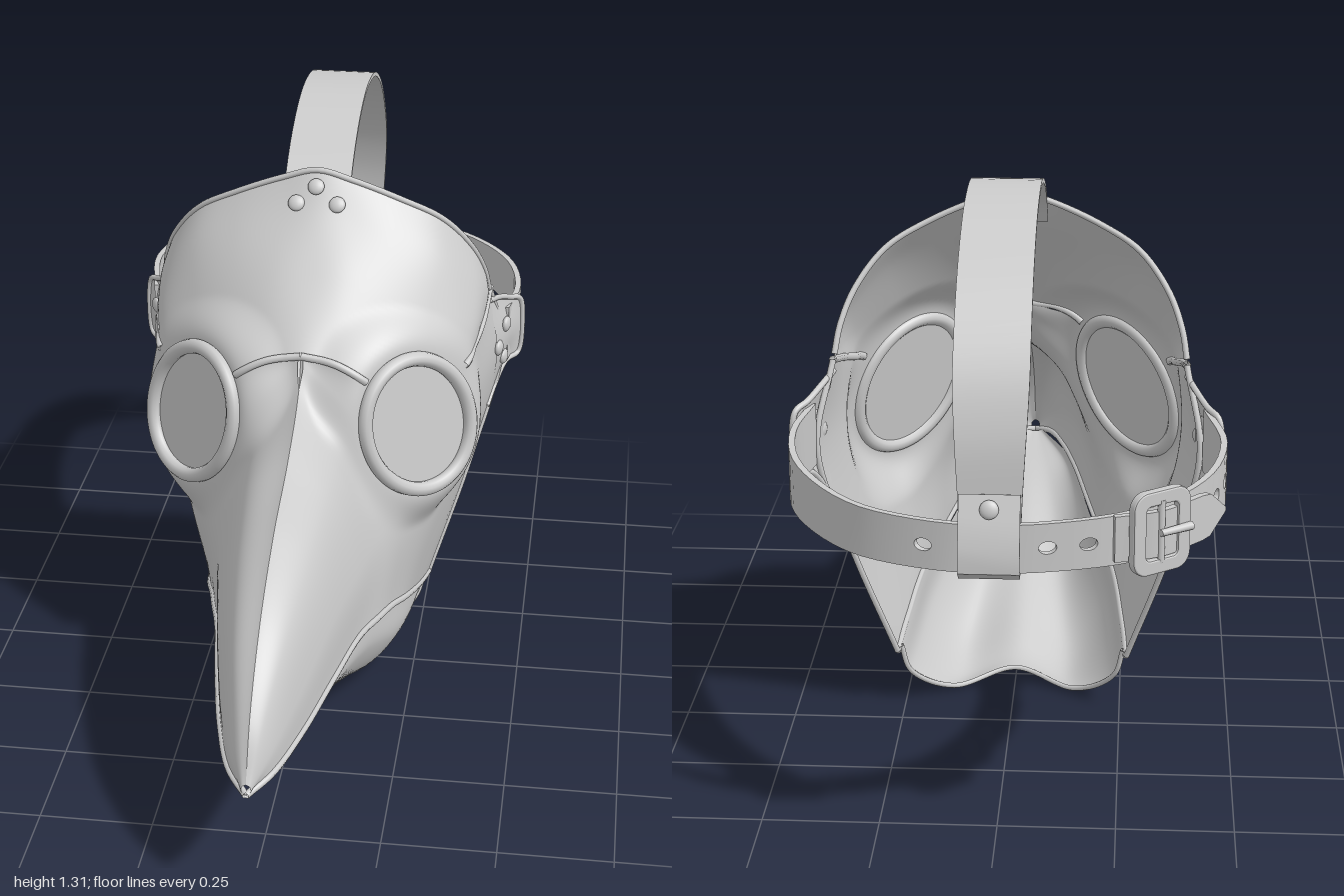
import * as THREE from 'three';
import { mergeGeometries, toCreasedNormals } from 'three/addons/utils/BufferGeometryUtils.js';

const V = (p) => new THREE.Vector3(...p);
const spline = (pts, closed = false) => new THREE.CatmullRomCurve3(pts.map(V), closed);
const flip = ([x, y, z]) => [-x, y, z];

// Eye frame: unit circle in this basis is the goggle outline
const eyeA = V([0.115, 0, -0.11]), eyeB = V([-0.035, 0.17, 0]);
const eyeN = eyeA.clone().cross(eyeB).normalize();
const eye = new THREE.Matrix4().makeBasis(eyeA, eyeB, eyeN).setPosition(0.255, 0.7, 0.115);
const eyeInv = eye.clone().invert();

// Flatten a point toward the goggle plane; returns its distance from the eye centre
function seatEye(p) {
  const s = p.x < 0 ? -1 : 1;
  p.x *= s;
  p.applyMatrix4(eyeInv);
  const d = Math.hypot(p.x, p.y);
  if (Math.abs(p.z) < 0.2) p.z *= THREE.MathUtils.smoothstep(d, 1, 1.6);
  p.applyMatrix4(eye);
  p.x *= s;
  return d;
}

// Smooth skin through rows of points, optionally with goggle holes
function skin(rows, nu, nv, holes = false) {
  const across = rows.map((r) => spline(r));
  const pos = [], dist = [], idx = [];
  const grid = [];
  for (let j = 0; j <= nv; j++) {
    const along = new THREE.CatmullRomCurve3(across.map((c) => c.getPoint(j / nv)));
    grid.push(Array.from({ length: nu + 1 }, (_, i) => along.getPoint(i / nu)));
  }
  for (const line of grid) for (const p of line) {
    dist.push(holes ? seatEye(p) : 9);
    pos.push(p.x, p.y, p.z);
  }
  const w = nu + 1;
  for (let j = 0; j < nv; j++) for (let i = 0; i < nu; i++) {
    const a = j * w + i, b = a + 1, c = a + w, d = c + 1;
    for (const t of [[a, c, b], [b, c, d]])
      if (t.some((k) => dist[k] > 0.88)) idx.push(...t);
  }
  const g = new THREE.BufferGeometry();
  g.setAttribute('position', new THREE.Float32BufferAttribute(pos, 3));
  g.setIndex(idx);
  g.computeVertexNormals();
  return g;
}

// Rolled edge along a line of points
function rim(pts, r = 0.008, seat = false) {
  let c = spline(pts);
  if (seat) {
    const seated = c.getPoints(60);
    seated.forEach(seatEye);
    c = new THREE.CatmullRomCurve3(seated);
  }
  return new THREE.TubeGeometry(c, 70, r, 8);
}

// Leather band bent along a curve, made of short pieces so it can carry holes
function band(curve, side, width, n, holes = [], pointed = false, thick = 0.014) {
  const L = curve.getLength(), step = L / n, parts = [];
  for (let i = 0; i < n; i++) {
    const a = i * step, b = (i + 1) * step;
    const shape = new THREE.Shape([[a, -0.5], [b, -0.5], [b, 0.5], [a, 0.5]].map(([s, h]) => new THREE.Vector2(s, h * width(0.5))));
    if (holes.includes(i)) {
      const hole = new THREE.Path();
      hole.absellipse((a + b) / 2, 0, 0.018, 0.013, 0, Math.PI * 2, true);
      shape.holes.push(hole);
    }
    parts.push(new THREE.ExtrudeGeometry(shape, { depth: thick, bevelEnabled: false, curveSegments: 10 }));
  }
  const g = mergeGeometries(parts), p = g.attributes.position, v = new THREE.Vector3();
  for (let i = 0; i < p.count; i++) {
    const u = THREE.MathUtils.clamp(p.getX(i) / L, 0, 1);
    const taper = pointed ? Math.min(1, (1 - u) * 5 + 0.1) : 1;
    const t = curve.getTangentAt(u);
    v.copy(curve.getPointAt(u))
      .addScaledVector(side, p.getY(i) * taper * width(u) / width(0.5))
      .addScaledVector(t.cross(side).normalize(), p.getZ(i) - thick / 2);
    p.setXYZ(i, v.x, v.y, v.z);
  }
  return toCreasedNormals(g, 0.7);
}

export function createModel() {
  const model = new THREE.Group();
  const mat = new THREE.MeshStandardMaterial({ color: 0xcccccc, side: THREE.DoubleSide });
  const add = (name, geo, parent = model) => {
    const m = new THREE.Mesh(geo, mat);
    m.name = name;
    parent.add(m);
    return m;
  };
  const rivet = (parent, at, normal) => {
    const m = add('rivet', new THREE.SphereGeometry(0.019, 16, 10), parent);
    m.position.set(...at);
    m.lookAt(V(at).add(V(normal)));
    m.scale.z = 0.5;
  };

  // Beak and cheek: cross-sections from ridge or brow down to the lip
  const cheek = [
    [[0, 0.305, 1], [0.008, 0.3, 1], [0.01, 0.288, 1], [0, 0.28, 1]],
    [[0, 0.425, 0.94], [0.025, 0.4, 0.94], [0.043, 0.345, 0.94], [0.043, 0.295, 0.94]],
    [[0, 0.56, 0.8], [0.052, 0.515, 0.8], [0.083, 0.4, 0.8], [0.085, 0.305, 0.8]],
    [[0, 0.665, 0.6], [0.075, 0.6, 0.6], [0.122, 0.45, 0.6], [0.125, 0.312, 0.6]],
    [[0, 0.725, 0.4], [0.09, 0.65, 0.4], [0.155, 0.46, 0.4], [0.16, 0.305, 0.4]],
    [[0, 0.81, 0.23], [0.11, 0.68, 0.24], [0.185, 0.47, 0.24], [0.19, 0.28, 0.27]],
    [[0, 0.885, 0.187], [0.135, 0.7, 0.2], [0.22, 0.48, 0.165], [0.21, 0.26, 0.18]],
    [[0.13, 0.83, 0.175], [0.2, 0.69, 0.155], [0.25, 0.47, 0.11], [0.23, 0.235, 0.1]],
    [[0.24, 0.8, 0.11], [0.26, 0.68, 0.105], [0.285, 0.46, 0.05], [0.242, 0.212, 0.03]],
    [[0.35, 0.8, 0], [0.355, 0.68, -0.02], [0.32, 0.46, -0.05], [0.252, 0.185, -0.05]],
    [[0.378, 0.84, -0.13], [0.385, 0.68, -0.15], [0.34, 0.44, -0.15], [0.26, 0.165, -0.12]],
    [[0.387, 0.88, -0.275], [0.418, 0.7, -0.34], [0.355, 0.43, -0.27], [0.265, 0.145, -0.19]],
  ];
  const tab = [
    [[0.388, 0.85, -0.26], [0.41, 0.72, -0.27], [0.39, 0.56, -0.29]],
    [[0.408, 0.835, -0.32], [0.428, 0.73, -0.32], [0.404, 0.6, -0.325]],
    [[0.432, 0.815, -0.37], [0.444, 0.73, -0.37], [0.428, 0.65, -0.365]],
    [[0.455, 0.8, -0.4], [0.462, 0.73, -0.405], [0.455, 0.66, -0.4]],
  ];
  const ring = spline(Array.from({ length: 32 }, (_, i) => {
    const a = (i / 32) * Math.PI * 2;
    return V([0.92 * Math.cos(a), 0.92 * Math.sin(a), 0.006]).applyMatrix4(eye).toArray();
  }), true);

  for (const s of [1, -1]) {
    const half = new THREE.Group();
    half.name = s > 0 ? 'leftSide' : 'rightSide';
    half.scale.x = s;
    model.add(half);
    add('beakAndCheek', skin(cheek, 140, 70, true), half);
    add('lipRim', rim(cheek.map((r) => r[3])), half);
    add('cheekBackRim', rim(cheek[11], 0.007), half);
    add('innerBrowRim', rim([cheek[6][0], [0.07, 0.872, 0.188], cheek[7][0]], 0.009, true), half);
    add('outerBrowRim', rim([9, 10, 11].map((i) => cheek[i][0]), 0.009, true), half);
    add('strapTab', skin(tab, 20, 16), half);
    add('strapTabRim', rim([...tab.map((r) => r[0]), tab[3][1], ...tab.map((r) => r[2]).reverse()], 0.007), half);
    add('goggleRing', new THREE.TubeGeometry(ring, 96, 0.017, 10, true), half);
    add('lens', new THREE.CircleGeometry(0.92, 48).applyMatrix4(eye), half);
    for (const at of [[0.428, 0.765, -0.322], [0.414, 0.72, -0.28], [0.424, 0.68, -0.322]]) rivet(half, at, [1, 0, 0.3]);
  }

  // Forehead plate: columns from brow to top edge, mirrored across the middle
  const plate = [
    [[0, 0.885, 0.187], [0, 1.03, 0.055], [0, 1.14, -0.04], [0, 1.22, -0.092]],
    [[0.07, 0.868, 0.185], [0.08, 1.02, 0.055], [0.08, 1.125, -0.04], [0.08, 1.198, -0.095]],
    [[0.13, 0.83, 0.175], [0.165, 0.98, 0.05], [0.185, 1.08, -0.04], [0.19, 1.152, -0.11]],
    [[0.24, 0.8, 0.11], [0.27, 0.93, 0.01], [0.285, 1.03, -0.07], [0.28, 1.1, -0.14]],
    [[0.35, 0.8, 0], [0.363, 0.88, -0.06], [0.362, 0.95, -0.12], [0.345, 1.02, -0.185]],
    [[0.378, 0.84, -0.13], [0.384, 0.875, -0.16], [0.385, 0.91, -0.19], [0.376, 0.945, -0.225]],
    [[0.387, 0.867, -0.235], [0.388, 0.872, -0.24], [0.388, 0.878, -0.245], [0.387, 0.885, -0.25]],
  ];
  const forehead = [...plate.slice(1).reverse().map((c) => c.map(flip)), ...plate];
  add('forehead', skin(forehead, 160, 50, true));
  add('foreheadTopRim', rim(forehead.map((c) => c[3]), 0.007));
  for (const at of [[0, 1.19, -0.066], [-0.043, 1.155, -0.05], [0.05, 1.155, -0.05]]) rivet(model, at, [0, 0.6, 0.8]);

  // Lower jaw: cross-sections from lip to keel, mirrored
  const jaw = [
    [[0.018, 0.29, 0.97], [0.014, 0.286, 0.97], [0.008, 0.284, 0.97], [0, 0.284, 0.97]],
    [[0.09, 0.305, 0.75], [0.085, 0.283, 0.75], [0.045, 0.268, 0.75], [0, 0.266, 0.75]],
    [[0.118, 0.31, 0.6], [0.113, 0.275, 0.6], [0.062, 0.238, 0.6], [0, 0.238, 0.6]],
    [[0.172, 0.29, 0.3], [0.165, 0.205, 0.3], [0.1, 0.118, 0.3], [0, 0.13, 0.3]],
    [[0.222, 0.235, 0.1], [0.212, 0.13, 0.1], [0.125, 0.032, 0.1], [0, 0.06, 0.1]],
    [[0.243, 0.19, -0.04], [0.226, 0.095, -0.035], [0.13, 0.006, -0.01], [0, 0.035, 0.03]],
    [[0.257, 0.155, -0.18], [0.237, 0.085, -0.165], [0.14, 0.012, -0.09], [0, 0.03, -0.02]],
  ].map((r) => [...r, ...r.slice(0, 3).reverse().map(flip)]);
  add('lowerJaw', skin(jaw, 60, 60));
  add('jawBackRim', rim(jaw[6], 0.006));

  // Strap around the head
  const strap = spline([[0.425, 0.73, -0.34], [0.445, 0.73, -0.5], [0.405, 0.73, -0.69], [0.27, 0.725, -0.875], [0.1, 0.725, -0.955],
    [0, 0.725, -0.965], [-0.1, 0.725, -0.955], [-0.29, 0.73, -0.89], [-0.42, 0.735, -0.73], [-0.462, 0.74, -0.55], [-0.43, 0.735, -0.35]]);
  const up = V([0, 1, 0]);
  add('headStrap', band(strap, up, (u) => 0.1 + 0.04 * Math.abs(2 * u - 1) ** 2, 44, [18, 24, 26, 33, 35, 37]));
  const loose = spline([[-0.24, 0.735, -0.93], [-0.33, 0.74, -0.905], [-0.39, 0.74, -0.84], [-0.455, 0.74, -0.765]]);
  add('strapLooseEnd', band(loose, up, () => 0.095, 12, [8], true));

  // Strap over the crown, looping round the head strap
  const crown = spline([[0, 1.15, -0.075], [0, 1.2, -0.115], [0, 1.255, -0.2], [0, 1.295, -0.31], [0, 1.31, -0.43], [0, 1.285, -0.6], [0, 1.2, -0.76],
    [0, 1.07, -0.875], [0, 0.94, -0.925], [0, 0.8, -0.938], [0, 0.71, -0.945], [0, 0.668, -0.965], [0, 0.68, -0.988], [0, 0.74, -0.982], [0, 0.83, -0.95]]);
  add('crownStrap', band(crown, V([1, 0, 0]), (u) => 0.15 - 0.03 * THREE.MathUtils.smoothstep(u, 0.6, 0.85), 60, [], false, 0.01));
  rivet(model, [0, 0.805, -0.968], [0, 0.3, -1]);

  // Buckle: rounded frame, bar and prong
  const rounded = (P, w, h, r) => {
    const p = new P();
    for (const [i, sx, sy] of [[0, 1, 1], [1, -1, 1], [2, -1, -1], [3, 1, -1]])
      p.absarc(sx * (w / 2 - r), sy * (h / 2 - r), r, (i * Math.PI) / 2, ((i + 1) * Math.PI) / 2, false);
    p.closePath();
    return p;
  };
  const frame = rounded(THREE.Shape, 0.13, 0.165, 0.03);
  frame.holes.push(rounded(THREE.Path, 0.085, 0.12, 0.015));
  const buckle = new THREE.Group();
  buckle.name = 'buckle';
  buckle.position.set(-0.325, 0.745, -0.9);
  buckle.lookAt(V([-0.325 - 0.6, 0.745, -0.9 - 0.8]));
  model.add(buckle);
  add('buckleFrame', new THREE.ExtrudeGeometry(frame, { depth: 0.012, bevelSize: 0.004, bevelThickness: 0.004, bevelSegments: 2 }), buckle);
  add('buckleBar', new THREE.CylinderGeometry(0.008, 0.008, 0.13, 10), buckle).position.z = 0.01;
  const prong = add('buckleProng', new THREE.CylinderGeometry(0.007, 0.009, 0.075, 10), buckle);
  prong.rotation.z = Math.PI / 2;
  prong.position.set(0.03, 0, 0.02);
  return model;
}
